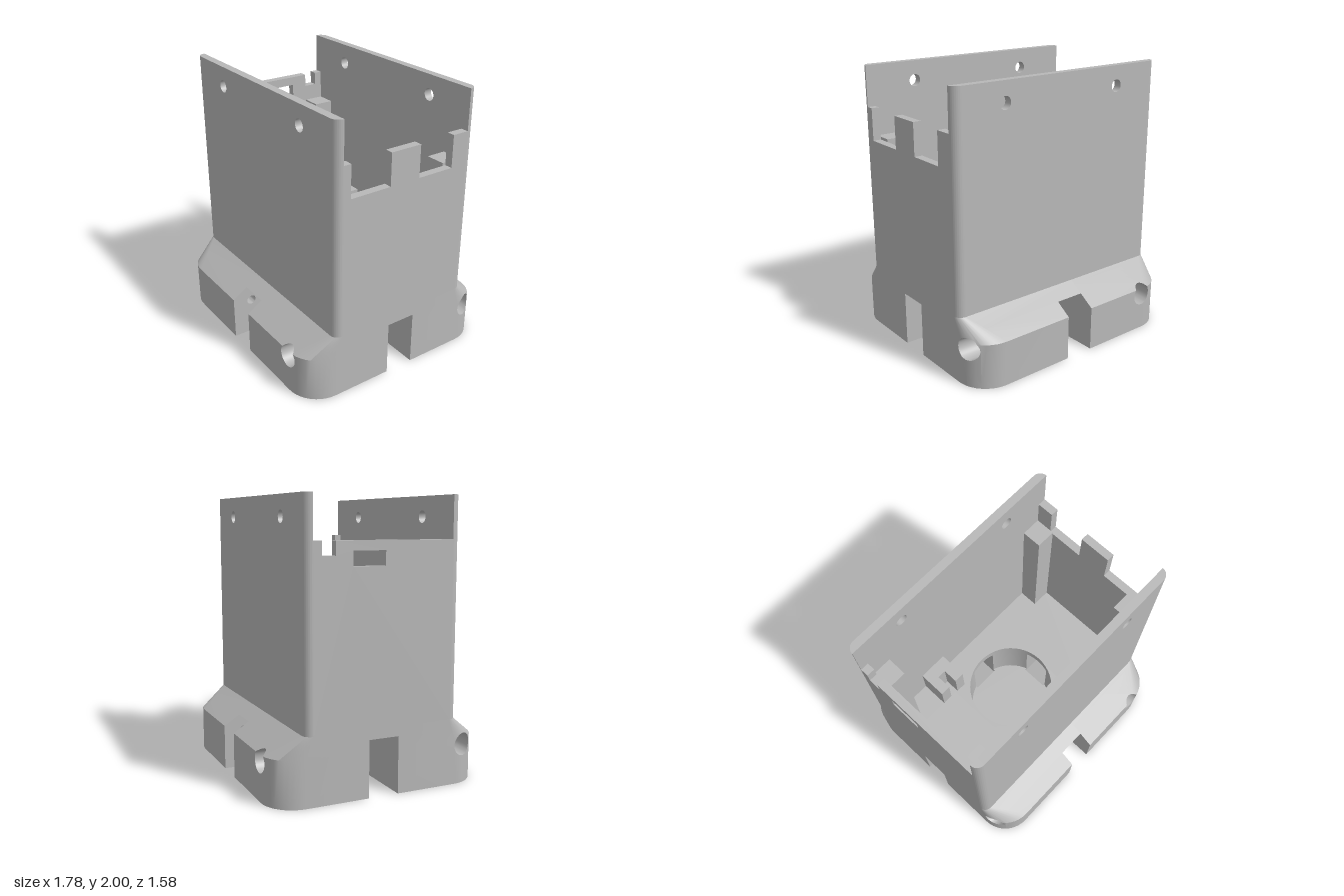
import * as THREE from 'three';
import { toCreasedNormals } from 'three/addons/utils/BufferGeometryUtils.js';

const EPS = 1e-6;
const V = (x, y, z) => new THREE.Vector3(x, y, z);

// --- convex solids as lists of planar faces, with cutting helpers ---

const planeOf = (face) => {
  const n = V(0, 0, 0); // Newell normal
  face.forEach((a, i) => {
    const b = face[(i + 1) % face.length];
    n.add(V((a.y - b.y) * (a.z + b.z), (a.z - b.z) * (a.x + b.x), (a.x - b.x) * (a.y + b.y)));
  });
  n.normalize();
  const middle = face.reduce((s, p) => s.add(p), V(0, 0, 0)).divideScalar(face.length);
  return new THREE.Plane(n, -n.dot(middle));
};

// Convex solid lofted through rings that have equal point counts
function loft(...rings) {
  const faces = [[...rings[0]], [...rings[rings.length - 1]]];
  for (let k = 0; k + 1 < rings.length; k++) {
    const a = rings[k], b = rings[k + 1];
    a.forEach((p, i) => {
      const j = (i + 1) % a.length;
      faces.push([p, a[j], b[j], b[i]]);
    });
  }
  const points = rings.flat();
  const centre = points.reduce((s, p) => s.add(p), V(0, 0, 0)).divideScalar(points.length);
  for (const f of faces) if (planeOf(f).distanceToPoint(centre) > 0) f.reverse();
  return { faces, planes: faces.map(planeOf) };
}

// Splits a face into the parts in front of and behind a plane
function split(face, plane) {
  const d = face.map((p) => plane.distanceToPoint(p));
  if (d.every((v) => v <= EPS)) return [null, face];
  if (d.every((v) => v >= -EPS)) return [face, null];
  const front = [], back = [];
  face.forEach((p, i) => {
    const j = (i + 1) % face.length;
    if (d[i] >= -EPS) front.push(p);
    if (d[i] <= EPS) back.push(p);
    if ((d[i] > EPS && d[j] < -EPS) || (d[i] < -EPS && d[j] > EPS)) {
      const m = p.clone().lerp(face[j], d[i] / (d[i] - d[j]));
      front.push(m);
      back.push(m);
    }
  });
  return [front, back];
}

function outside(face, solid) {
  const pieces = [];
  let rest = face;
  for (const plane of solid.planes) {
    const [front, back] = split(rest, plane);
    if (front) pieces.push(front);
    if (!back) return [face];
    rest = back;
  }
  return pieces;
}

const inside = (face, solid) =>
  solid.planes.reduce((f, plane) => f && split(f, plane)[1], face);

// Surface of a convex block with convex cutters taken out
function carve(block, cutters) {
  const keep = (faces, others) =>
    others.reduce((list, c) => list.flatMap((f) => outside(f, c)), faces);
  const result = keep(block.faces, cutters);
  for (const c of cutters) {
    const walls = c.faces.map((f) => inside(f, block)).filter(Boolean);
    result.push(...keep(walls, cutters.filter((o) => o !== c)).map((f) => [...f].reverse()));
  }
  const pos = [];
  for (const f of result) {
    for (let i = 1; i + 1 < f.length; i++) {
      const t = new THREE.Triangle(f[0], f[i], f[i + 1]);
      if (t.getArea() > 1e-8) for (const p of [t.a, t.b, t.c]) pos.push(p.x, p.y, p.z);
    }
  }
  const geo = new THREE.BufferGeometry();
  geo.setAttribute('position', new THREE.Float32BufferAttribute(pos, 3));
  return toCreasedNormals(geo, 0.5);
}

// --- rings ---

function roundedRing(hx, hz, r, y, steps = 10) {
  const ring = [];
  [[1, 1], [-1, 1], [-1, -1], [1, -1]].forEach(([sx, sz], q) => {
    for (let i = 0; i <= steps; i++) {
      const a = (q + i / steps) * Math.PI / 2;
      ring.push(V(sx * (hx - r) + r * Math.cos(a), y, sz * (hz - r) + r * Math.sin(a)));
    }
  });
  return ring;
}

const circle = (r, place, n = 32) => Array.from({ length: n }, (_, i) => {
  const a = (i / n) * Math.PI * 2;
  return place(r * Math.cos(a), r * Math.sin(a));
});

const turn = (ring, angle) => ring.map((p) => p.clone().applyAxisAngle(V(0, 1, 0), angle));

const shapeOf = (points) => new THREE.Shape(points.map(([x, y]) => new THREE.Vector2(x, y)));

export function createModel() {
  const model = new THREE.Group();
  const grey = new THREE.MeshStandardMaterial({ color: 0xb8b8b8 });
  const add = (name, geo, x = 0, y = 0, z = 0) => {
    const mesh = new THREE.Mesh(geo, grey);
    mesh.name = name;
    mesh.position.set(x, y, z);
    model.add(mesh);
    return mesh;
  };
  const extrude = (shape, depth) => toCreasedNormals(
    new THREE.ExtrudeGeometry(shape, { depth, bevelEnabled: false, curveSegments: 14 }), 0.5);

  const FLOOR = 0.47, SIDE_TOP = 1.705, TOP = 2, WALL = 0.06, IX = 0.83, IZ = 0.51;

  // Flared foot with a round pocket, four edge slots and four screw holes
  const foot = loft(
    roundedRing(0.89, 0.79, 0.23, 0),
    roundedRing(0.89, 0.79, 0.23, 0.325),
    roundedRing(0.89, 0.57, WALL, FLOOR));
  const cutters = [loft(
    circle(0.335, (u, v) => V(u, 0.05, v), 48),
    circle(0.335, (u, v) => V(u, 0.6, v), 48))];
  const slotRing = (z) => [V(-0.11, -0.1, z), V(0.11, -0.1, z), V(0.11, 0.4, z), V(-0.11, 0.4, z)];
  const boreRing = (r, z) => circle(r, (u, v) => V(0.64 + u, 0.275 + v, z));
  for (let i = 0; i < 4; i++) {
    const a = i * Math.PI / 2;
    cutters.push(
      loft(turn(slotRing(0.3), a), turn(slotRing(1), a)),
      loft(turn(boreRing(0.08, 0.6), a), turn(boreRing(0.08, 1), a)),
      loft(turn(boreRing(0.036, 0.05), a), turn(boreRing(0.036, 0.7), a)));
  }
  add('foot', carve(foot, cutters));

  // Tall front and back walls with two holes each
  const tall = shapeOf([[-IX, FLOOR], [IX, FLOOR], [IX, TOP], [-IX, TOP]]);
  for (const x of [-0.495, 0.495]) {
    tall.holes.push(new THREE.Path().absarc(x, 1.855, 0.045, 0, Math.PI * 2, true));
  }
  add('frontWall', extrude(tall, WALL), 0, 0, IZ);
  add('backWall', extrude(tall, WALL), 0, 0, -IZ - WALL);

  // Rounded corner columns
  const sector = new THREE.Shape().moveTo(0, 0).lineTo(WALL, 0).absarc(0, 0, WALL, 0, Math.PI / 2, false);
  [[1, -1], [-1, -1], [-1, 1], [1, 1]].forEach(([sx, sz], i) => {
    const geo = extrude(sector, TOP - FLOOR).rotateX(-Math.PI / 2).rotateY(i * Math.PI / 2);
    add('cornerColumn', geo, sx * IX, FLOOR, sz * IZ);
  });

  // Low side walls, drawn in (-z, y) and turned to face along x
  const right = shapeOf([[-IZ, FLOOR], [IZ, FLOOR], [IZ, SIDE_TOP], [0.385, SIDE_TOP], [0.385, 1.47],
    [0.1, 1.47], [0.1, SIDE_TOP], [-0.14, SIDE_TOP], [-0.14, 1.47], [-0.455, 1.47],
    [-0.455, SIDE_TOP], [-IZ, SIDE_TOP]]);
  add('notchedSideWall', extrude(right, WALL).rotateY(Math.PI / 2), IX);

  const left = shapeOf([[-IZ, FLOOR], [IZ, FLOOR], [IZ, SIDE_TOP], [0.45, SIDE_TOP], [0.45, 1.61],
    [0.355, 1.61], [0.355, SIDE_TOP], [-IZ, SIDE_TOP]]);
  left.holes.push(shapeOf([[0, 1.54], [0, 1.64], [0.235, 1.64], [0.235, 1.54]]));
  add('windowSideWall', extrude(left, WALL).rotateY(Math.PI / 2), -IX - WALL);

  // Support posts in the inner corners
  const postTop = 1.49;
  for (const sx of [-1, 1]) for (const sz of [-1, 1]) {
    add('cornerPost', new THREE.BoxGeometry(0.15, postTop - FLOOR, 0.15),
      sx * 0.755, (postTop + FLOOR) / 2, sz * 0.435);
  }

  // Raised pad on the floor, and slotted brackets beside it
  add('floorPad', new THREE.BoxGeometry(0.47, 0.06, 0.56), -0.595, FLOOR + 0.03, 0);
  const bracket = shapeOf([[-0.115, 0], [-0.035, 0], [-0.035, 0.12], [0.035, 0.12], [0.035, 0],
    [0.115, 0], [0.115, 0.22], [-0.115, 0.22]]);
  for (const s of [-1, 1]) {
    const geo = extrude(bracket, 0.25).rotateX(Math.PI / 2);
    if (s < 0) geo.rotateY(Math.PI);
    add('slottedBracket', geo, -0.365, FLOOR + 0.25, s * 0.29);
  }
  return model;
}
